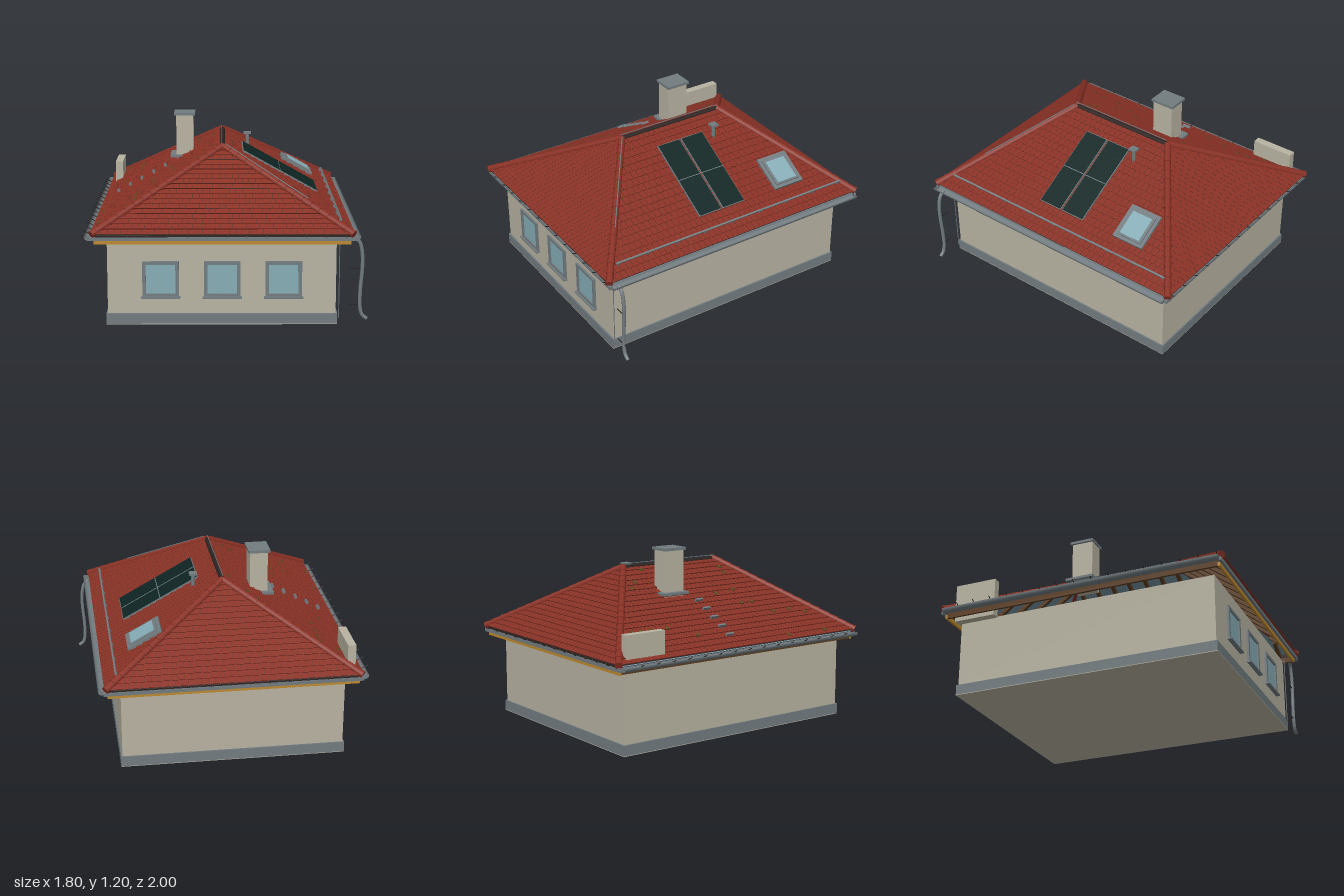
import * as THREE from 'three';

const material = (name, color, side = THREE.FrontSide) => {
  const m = new THREE.MeshStandardMaterial({ color, side });
  m.name = name;
  return m;
};

export function createModel() {
  const wall = material('plaster', 0xb8b3a2);
  const red = material('clay tile', 0x8a3125, THREE.DoubleSide);
  const metal = material('grey metal', 0x727c80, THREE.DoubleSide);
  const glass = material('window glass', 0x86adb6);
  const solar = material('solar cell', 0x0e2523);
  const wood = material('light timber', 0xbd8a30);
  const brown = material('dark timber', 0x5c3d20);
  const membrane = material('roof membrane', 0x7390a0, THREE.DoubleSide);
  const dark = material('dark underlay', 0x2c2422);
  const moss = material('moss', 0x5f4a20);

  const house = new THREE.Group();
  house.name = 'house';
  const CX = -0.02, EAVE = 0.597, RISE = 0.455, HX = 0.815, HZ = 0.98, RIDGE = 0.38;

  const add = (parent, name, geometry, mat) => {
    const mesh = new THREE.Mesh(geometry, mat);
    mesh.name = name;
    parent.add(mesh);
    return mesh;
  };
  // Box given by its limits on each axis
  const box = (parent, name, mat, x0, x1, y0, y1, z0, z1) => {
    const mesh = add(parent, name, new THREE.BoxGeometry(x1 - x0, y1 - y0, z1 - z0), mat);
    mesh.position.set((x0 + x1) / 2, (y0 + y1) / 2, (z0 + z1) / 2);
    return mesh;
  };
  // Round bar between two points
  const bar = (name, mat, a, b, r0, r1 = r0, sides = 8) => {
    const p = new THREE.Vector3(...a), q = new THREE.Vector3(...b);
    const mesh = add(house, name, new THREE.CylinderGeometry(r1, r0, p.distanceTo(q), sides), mat);
    mesh.position.copy(p).lerp(q, 0.5);
    mesh.quaternion.setFromUnitVectors(new THREE.Vector3(0, 1, 0), q.sub(p).normalize());
    return mesh;
  };
  const quads = (list) => {
    const pos = [];
    for (const [a, b, c, d] of list) pos.push(...a, ...b, ...c, ...a, ...c, ...d);
    const g = new THREE.BufferGeometry();
    g.setAttribute('position', new THREE.Float32BufferAttribute(pos, 3));
    g.computeVertexNormals();
    return g;
  };

  // Walls, plinth and floor
  box(house, 'floor', wall, -0.755, 0.705, 0, 0.004, -0.89, 0.91);
  box(house, 'plinth', metal, -0.755, 0.705, 0.004, 0.072, -0.89, 0.91);
  box(house, 'walls', wall, -0.745, 0.695, 0.07, 0.52, -0.88, 0.9);

  // Front windows: four frame bars, pane and sill
  for (const x of [-0.41, -0.022, 0.365]) {
    const w = 0.115, t = 0.022;
    box(house, 'windowPane', glass, x - w + t, x + w - t, 0.2, 0.39, 0.897, 0.904);
    box(house, 'windowHead', metal, x - w, x + w, 0.39, 0.41, 0.89, 0.914);
    box(house, 'windowFoot', metal, x - w, x + w, 0.18, 0.2, 0.89, 0.914);
    for (const s of [-1, 1])
      box(house, 'windowJamb', metal, x + s * (w - t / 2) - t / 2, x + s * (w - t / 2) + t / 2, 0.2, 0.39, 0.89, 0.914);
    box(house, 'windowSill', metal, x - 0.123, x + 0.123, 0.173, 0.183, 0.89, 0.928);
  }

  // One roof slope; its group has x along the eave, y up the slope, z outwards
  const makeSlope = (name, angle, eave, run, w0, w1) => {
    const turn = new THREE.Group();
    turn.position.x = CX;
    turn.rotation.y = angle;
    const g = new THREE.Group();
    g.name = name;
    g.position.set(0, EAVE, eave);
    g.rotation.x = Math.atan2(RISE, run) - Math.PI / 2;
    turn.add(g);
    house.add(turn);
    const L = Math.hypot(run, RISE);
    const half = (y) => w0 + (w1 - w0) * Math.min(y / L, 1);
    const sheet = (z) => quads([[[-w0, 0, z], [w0, 0, z], [w1, L, z], [-w1, L, z]]]);
    add(g, 'underlay', sheet(0), dark);
    add(g, 'membrane', sheet(-0.008), membrane);

    // Overlapping staggered tiles, cut off along the hips
    const rows = 18, tile = 0.042, step = L / rows, list = [];
    for (let r = 0; r < rows; r++) {
      const y0 = r * step, y1 = Math.min(y0 + step * 1.08, L);
      const clamp = (u, y) => Math.max(-half(y), Math.min(half(y), u));
      const n = Math.ceil(half(y0) / tile) + 1;
      for (let i = -n; i <= n; i++) {
        const u0 = (i + (r % 2) / 2) * tile + 0.001, u1 = u0 + tile - 0.002;
        const a = clamp(u0, y0), b = clamp(u1, y0), c = clamp(u1, y1), d = clamp(u0, y1);
        if (b - a < 0.001) continue;
        list.push([[a, y0, 0.013], [b, y0, 0.013], [c, y1, 0.003], [d, y1, 0.003]]);
        list.push([[a, y0, 0.007], [b, y0, 0.007], [b, y0, 0.013], [a, y0, 0.013]]);
      }
    }
    add(g, 'tiles', quads(list), red);

    // Rafters, shortened where they meet the hips
    const count = Math.floor((w0 - 0.05) / 0.123);
    for (let i = -count; i <= count; i++) {
      const u = i * 0.123;
      const len = Math.abs(u) > w1 ? L * (w0 - Math.abs(u)) / (w0 - w1) : L;
      box(g, 'rafter', brown, u - 0.012, u + 0.012, 0.02, Math.max(len - 0.03, 0.04), -0.034, -0.009);
    }
    return { g, L };
  };
  makeSlope('frontSlope', 0, HZ, HZ - RIDGE, HX, 0);
  makeSlope('backSlope', Math.PI, HZ, HZ - RIDGE, HX, 0);
  const left = makeSlope('leftSlope', Math.PI / 2, HX, HX, HZ, RIDGE);
  const right = makeSlope('rightSlope', -Math.PI / 2, HX, HX, HZ, RIDGE);
  const up = (x) => (HX - Math.abs(x - CX)) / HX * left.L;

  // Hip caps as short overlapping tapered tiles
  for (const sx of [-1, 1]) for (const sz of [-1, 1]) {
    const n = 16;
    const at = (t) => [CX + sx * HX * (1 - t), EAVE + RISE * t + 0.004, sz * (HZ + (RIDGE - HZ) * t)];
    for (let i = 0; i < n; i++)
      bar('hipCap', red, at(i / n), at(Math.min((i + 1.1) / n, 1)), 0.025, 0.021, 10);
  }
  bar('ridge', dark, [CX, 1.05, -RIDGE], [CX, 1.05, RIDGE], 0.017);

  // Lightning wires on ridge, hip and corner
  bar('ridgeWire', metal, [CX - 0.005, 1.075, -0.37], [CX - 0.005, 1.075, 0.39], 0.003, 0.003, 5);
  bar('hipWire', metal, [0.0, 1.07, 0.39], [0.52, 0.785, 0.765], 0.004, 0.004, 5);
  bar('cornerWire', metal, [0.714, 0.04, 0.905], [0.714, 0.54, 0.905], 0.003, 0.003, 5);

  // Eaves: fascia boards, metal edges, gutters
  for (const s of [-1, 1]) {
    const z = s * 0.957, x = CX + s * 0.79;
    box(house, 'endFascia', wood, CX - 0.8, CX + 0.8, 0.535, 0.562, z - 0.008, z + 0.008);
    box(house, 'endEdge', metal, CX - 0.825, CX + 0.825, 0.56, 0.583, s * 0.972 - 0.01, s * 0.972 + 0.01);
    box(house, 'endComb', dark, CX - 0.79, CX + 0.79, 0.583, 0.6, s * 0.968 - 0.007, s * 0.968 + 0.007);
    box(house, 'sideFascia', brown, x - 0.008, x + 0.008, 0.538, 0.575, -0.95, 0.95);
    box(house, 'sideComb', dark, x - 0.007, x + 0.007, 0.575, 0.6, -0.965, 0.965);
    const gutter = add(house, 'gutter',
      new THREE.CylinderGeometry(0.028, 0.028, 1.93, 12, 1, true, -Math.PI / 2, Math.PI), metal);
    gutter.rotation.x = Math.PI / 2;
    gutter.position.set(CX + s * 0.832, 0.586, 0.005);
    for (const e of [-0.96, 0.97]) {
      const cap = add(house, 'gutterEnd', new THREE.CircleGeometry(0.028, 12, Math.PI, Math.PI), metal);
      cap.position.set(CX + s * 0.832, 0.586, e);
    }
  }

  // Thin hangers along the left-hand and back eaves, and two at the front
  for (let i = 0; i < 16; i++) {
    const z = -0.84 + i * 0.1205;
    bar('hanger', dark, [-0.9, 0.598, z], [-0.835, 0.565, z], 0.003, 0.003, 5);
  }
  for (let i = 0; i < 13; i++) {
    const x = -0.73 + i * 0.123;
    bar('hanger', dark, [x, 0.593, -0.998], [x, 0.57, -0.95], 0.003, 0.003, 5);
    bar('hanger', dark, [x, 0.593, 0.998], [x, 0.57, 0.95], 0.003, 0.003, 5);
  }

  // Curved downpipe with brackets
  const pipe = new THREE.CatmullRomCurve3([[0.8, 0.57], [0.838, 0.535], [0.856, 0.45], [0.856, 0.36], [0.846, 0.22],
    [0.846, 0.12], [0.86, 0.065], [0.89, 0.04]].map(([x, y]) => new THREE.Vector3(x, y, 0.915)));
  add(house, 'downpipe', new THREE.TubeGeometry(pipe, 40, 0.012, 10), metal);
  for (const y of [0.37, 0.135]) bar('pipeBracket', dark, [0.775, y, 0.915], [0.865, y, 0.915], 0.004, 0.004, 6);

  // Chimney, vent pipe and side block
  box(house, 'chimneyFlashing', metal, -0.38, -0.2, 0.893, 0.91, -0.3, -0.1);
  box(house, 'chimney', wall, -0.34, -0.222, 0.84, 1.186, -0.268, -0.118);
  box(house, 'chimneyCap', metal, -0.355, -0.21, 1.184, 1.202, -0.28, -0.11);
  bar('ventPipe', metal, [0.155, 0.93, -0.235], [0.155, 1.042, -0.235], 0.013, 0.013, 12);
  box(house, 'ventCap', metal, 0.129, 0.181, 1.04, 1.053, -0.261, -0.209);
  box(house, 'sideBlock', wall, -0.803, -0.75, 0.51, 0.772, -0.9, -0.61);

  // Solar panels: frame with four cell plates
  const onLeft = (name, mat, x0, x1, z0, z1, h0, h1) =>
    box(left.g, name, mat, -z1, -z0, up(x1), up(x0), h0, h1);
  for (const z of [-0.168, 0.016]) {
    onLeft('panelFrame', metal, 0.108, 0.612, z, z + 0.172, 0.006, 0.019);
    for (const x of [0.112, 0.363])
      onLeft('panelCells', solar, x, x + 0.245, z + 0.004, z + 0.168, 0.016, 0.022);
  }

  // Skylight
  onLeft('skylightFrame', metal, 0.4, 0.615, -0.65, -0.42, 0, 0.024);
  onLeft('skylightRim', metal, 0.42, 0.595, -0.628, -0.442, 0.02, 0.033);
  onLeft('skylightGlass', glass, 0.437, 0.585, -0.61, -0.46, 0.029, 0.036);

  // Snow rail with posts
  onLeft('snowRail', metal, 0.702, 0.712, -0.9, 0.88, 0.024, 0.034);
  for (let i = 0; i < 9; i++) {
    const z = -0.88 + i * 0.218;
    onLeft('railPost', metal, 0.7, 0.714, z - 0.004, z + 0.004, 0.005, 0.03);
  }

  // Steps and moss on the opposite slope
  const onRight = (name, mat, x, z, w, d, h) =>
    box(right.g, name, mat, z - d / 2, z + d / 2, up(x) - w / 2, up(x) + w / 2, 0.004, h);
  for (let i = 0; i < 5; i++) onRight('roofStep', metal, -0.73 + i * 0.081, -0.045, 0.014, 0.058, 0.026);
  for (const [x, z] of [[-0.7, -0.83], [-0.6, -0.72], [-0.6, -0.65], [-0.6, -0.57], [-0.6, -0.45], [-0.73, -0.72],
    [-0.23, -0.46], [-0.18, -0.4], [-0.69, -0.27], [-0.07, -0.27], [-0.36, 0.14], [-0.47, 0.27], [-0.47, 0.36],
    [-0.34, 0.3], [-0.18, 0.35], [-0.12, 0.36], [-0.58, 0.46], [-0.8, 0.41], [-0.58, 0.6], [-0.62, 0.71], [-0.8, 0.73]])
    onRight('mossPatch', moss, x, z, 0.026, 0.024, 0.0135);

  return house;
}
